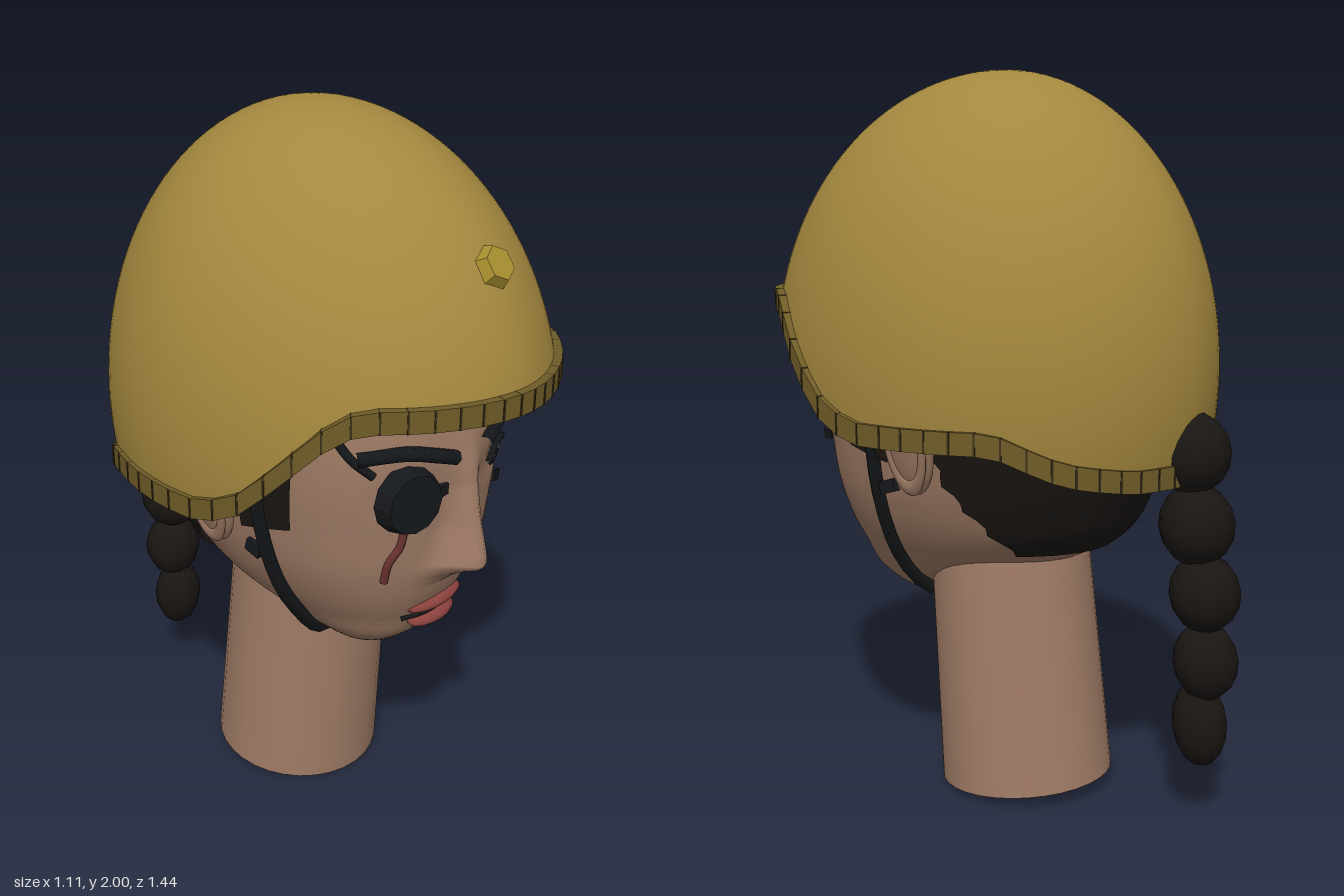
import * as THREE from 'three';
import { ParametricGeometry } from 'three/addons/geometries/ParametricGeometry.js';

const mat = (color, extra = {}) => new THREE.MeshStandardMaterial({ color, ...extra });
const DOUBLE = { side: THREE.DoubleSide };
const FLAT = { flatShading: true };
const V = (x, y, z) => new THREE.Vector3(x, y, z);

// Rows of [key, ...values] turned into a smooth or linear lookup
function table(rows, Type = THREE.CubicInterpolant) {
  const n = rows[0].length - 1;
  const it = new Type(rows.map(r => r[0]), rows.flatMap(r => r.slice(1)), n);
  const lo = rows[0][0], hi = rows[rows.length - 1][0];
  return k => Array.from(it.evaluate(Math.min(hi, Math.max(lo, k))));
}

// Head sections by height: front z, back z, half width
const section = table([
  [0.50, 0.22, 0.16, 0.02], [0.53, 0.29, 0.11, 0.09], [0.60, 0.385, 0.0, 0.18],
  [0.68, 0.43, -0.24, 0.25], [0.76, 0.465, -0.36, 0.305], [0.86, 0.49, -0.42, 0.35],
  [1.00, 0.505, -0.48, 0.385], [1.15, 0.52, -0.53, 0.41], [1.30, 0.51, -0.55, 0.42],
  [1.50, 0.46, -0.48, 0.39], [1.70, 0.32, -0.36, 0.28], [1.80, 0.05, -0.05, 0.04],
]);
// Nose by height: projection, half width
const nose = table([
  [0.79, 0, 0.07], [0.83, 0.035, 0.075], [0.865, 0.105, 0.07], [0.90, 0.1, 0.06],
  [0.98, 0.075, 0.045], [1.10, 0.035, 0.04], [1.20, 0.015, 0.06], [1.30, 0, 0.08],
], THREE.LinearInterpolant);
const E = 2.4;
const round = (r, e) => Math.pow(Math.max(0, 1 - Math.pow(Math.min(1, Math.abs(r)), e)), 1 / e);

function faceZ(x, y) {
  const [zf, zb, w] = section(y), zc = (zf + zb) / 2;
  const [p, nw] = nose(y);
  const socket = 0.018 * Math.exp(-(((Math.abs(x) - 0.17) / 0.07) ** 2) - ((y - 1.11) / 0.05) ** 2);
  return zc + (zf - zc) * round(x / w, E) + p * Math.exp(-((x / nw) ** 2)) - socket;
}
function sideX(y, z) {
  const [zf, zb, w] = section(y), zc = (zf + zb) / 2;
  return w * round((z - zc) / (zf - zc), z > zc ? E : 2);
}
function headPoint(t, y, off, target) {
  const [zf, zb, w] = section(y), zc = (zf + zb) / 2;
  const x = w * Math.sin(t), c = Math.cos(t);
  const z = c > 0 ? faceZ(x, y) : zc + (zc - zb) * c;
  target.set(x + off * Math.sin(t), y, z + off * c);
}

// Helmet: outline seen from above, and rim height by z
const outline = t => {
  const s = Math.sin(t), c = Math.cos(t);
  return [0.545 * s * Math.pow(Math.abs(s), 0.08), c * (c > 0 ? 0.71 : 0.62)];
};
const rimHeight = table([
  [-0.62, 0.96], [-0.56, 0.96], [-0.44, 0.99], [-0.29, 1.07], [0.11, 1.07],
  [0.23, 1.13], [0.44, 1.35], [0.50, 1.38], [0.72, 1.38],
], THREE.LinearInterpolant);
function helmetPoint(t, v, target) {
  const [px, pz] = outline(t);
  const phi = Math.acos((rimHeight(pz)[0] - 1.2) / 0.8) * v;
  const k = Math.sin(phi);
  return target.set(px * k, 1.2 + 0.8 * Math.cos(phi), pz * k);
}

export function createModel() {
  const model = new THREE.Group();
  const skin = mat(0xa07c66), hair = mat(0x1a1613, DOUBLE), black = mat(0x15181b);
  const lip = mat(0x8c423e), shell = mat(0xa4883e, DOUBLE), trim = mat(0x6f5c28, { ...FLAT, ...DOUBLE });

  function add(name, geometry, material, pos = [0, 0, 0], rot = [0, 0, 0], scale = [1, 1, 1]) {
    const m = new THREE.Mesh(geometry, material);
    m.name = name;
    m.position.set(...pos);
    m.rotation.set(...rot);
    m.scale.set(...scale);
    model.add(m);
    return m;
  }
  const ball = (a = 20, b = 14) => new THREE.SphereGeometry(1, a, b);
  // Thin cord through a list of points
  const cord = (name, pts, r, material, sides = 6) => add(name,
    new THREE.TubeGeometry(new THREE.CatmullRomCurve3(pts), 14, r, sides, false), material);
  // Cord lying on the face, given as [x, y] pairs
  const faceCord = (name, pts, r, material, lift = 0) =>
    cord(name, pts.map(([x, y]) => V(x, y, faceZ(x, y) + lift)), r, material);

  // Head and neck
  add('head', new ParametricGeometry((u, v, p) =>
    headPoint((u * 2 - 1) * Math.PI, 0.5 + 1.299 * v, 0, p), 128, 90), skin);
  add('neck', new THREE.CylinderGeometry(0.225, 0.245, 0.72, 32), skin, [0, 0.38, -0.05], [0.09, 0, 0]);

  // Hair at the back, with a stepped front edge
  const hairEdge = table([[0.72, -0.19], [0.80, -0.15], [0.86, -0.11], [0.94, -0.06], [1.35, -0.04]],
    THREE.LinearInterpolant);
  add('backHair', new ParametricGeometry((u, v, p) => {
    const y = 0.72 + 0.63 * v, [zf, zb] = section(y), zc = (zf + zb) / 2;
    const z = hairEdge(y)[0] + 0.01 * Math.sin(y * 90);
    const a = Math.acos(Math.max(-1, Math.min(0, (z - zc) / (zc - zb))));
    headPoint(a + u * 2 * (Math.PI - a), y, 0.02, p);
  }, 40, 28), hair);

  // Braid
  [[1.01, -0.59, 0.105, 0.11], [0.82, -0.61, 0.102, 0.11], [0.64, -0.638, 0.096, 0.105],
    [0.455, -0.645, 0.088, 0.105], [0.28, -0.632, 0.074, 0.118]].forEach(([y, z, r, h], i) =>
    add('braidBead' + (i + 1), ball(10, 8), hair, [0, y, z], [0.1, 0, 0], [r, h, r]));

  // Parts on both sides
  for (const s of [1, -1]) {
    const side = s > 0 ? 'left' : 'right';
    add(side + 'Sideburn', new ParametricGeometry((u, v, p) => {
      const y = 1.0 + 0.42 * v, f = s > 0 ? u : 1 - u;
      const z = 0.25 + 0.05 * v - f * (0.15 + 0.05 * v);
      p.set(s * (sideX(y, z) + 0.015), y - 0.03 * f * (1 - v), z);
    }, 8, 10), hair);
    add(side + 'Ear', ball(), skin, [s * 0.42, 1.04, 0.01], [0, 0, -s * 0.22], [0.035, 0.15, 0.072]);
    add(side + 'EarFold', new THREE.TorusGeometry(1, 0.2, 8, 24), skin,
      [s * 0.442, 1.04, 0.01], [0, Math.PI / 2, -s * 0.22, 'ZYX'], [0.055, 0.125, 0.05]);
    // Chin strap with its buckle
    cord(side + 'ChinStrap', [[1.36, 0.26], [1.2, 0.18], [1.05, 0.16], [0.9, 0.165], [0.78, 0.17], [0.68, 0.175],
      [0.6, 0.165], [0.56, 0.15]].map(([y, z]) => V(s * (sideX(y, z) + 0.012), y, z)), 0.024, black, 4);
    add(side + 'Buckle', new THREE.BoxGeometry(0.025, 0.035, 0.05), black,
      [s * (sideX(0.9, 0.12) + 0.008), 0.9, 0.12], [0.3, 0, 0]);
    faceCord(side + 'Eyebrow', [[s * 0.06, 1.19], [s * 0.13, 1.215], [s * 0.2, 1.235], [s * 0.3, 1.228]],
      0.02, black, 0.008);
  }

  // Open eye
  const ez = faceZ(0.17, 1.11);
  add('eyeWhite', ball(), mat(0xb8b4b0), [0.17, 1.11, ez - 0.008], [0, 0.2, 0], [0.058, 0.026, 0.022]);
  add('iris', ball(), mat(0x5c6b7c), [0.17, 1.112, ez + 0.006], [0, 0.2, 0], [0.025, 0.025, 0.012]);
  add('pupil', ball(12, 8), black, [0.17, 1.112, ez + 0.014], [0, 0.2, 0], [0.011, 0.011, 0.007]);
  faceCord('upperLashes', [[0.1, 1.11], [0.14, 1.137], [0.19, 1.142], [0.24, 1.125]], 0.009, black, 0.012);
  faceCord('lowerLashes', [[0.12, 1.092], [0.17, 1.08], [0.23, 1.092]], 0.004, black, 0.008);
  add('cheekMark', new THREE.BoxGeometry(0.065, 0.03, 0.02), black,
    [0.228, 1.005, faceZ(0.228, 1.005) + 0.004], [0, 0.4, -0.35]);

  // Eye patch with its string, and the scar below it
  add('eyePatch', new THREE.CylinderGeometry(0.08, 0.095, 0.05, 12), mat(0x15181b, FLAT),
    [-0.195, 1.105, faceZ(-0.195, 1.105) + 0.035], [Math.PI / 2, 0, 0.25]);
  faceCord('patchString', [[-0.27, 1.18], [-0.31, 1.23], [-0.345, 1.33]], 0.012, black, 0.008);
  add('patchTab', new THREE.BoxGeometry(0.03, 0.03, 0.02), black, [-0.09, 1.105, faceZ(-0.09, 1.105) + 0.006]);
  faceCord('scar', [[-0.185, 1.01], [-0.19, 0.96], [-0.21, 0.91], [-0.21, 0.85]], 0.011, mat(0x6e3430), 0.003);

  // Mouth
  add('upperLip', ball(16, 8), lip, [0, 0.715, 0.43], [0, 0, 0], [0.108, 0.022, 0.044]);
  add('lowerLip', ball(16, 8), lip, [0, 0.662, 0.422], [0, 0, 0], [0.09, 0.024, 0.044]);
  faceCord('mouthLine', [[-0.12, 0.687], [-0.05, 0.685], [0.05, 0.685], [0.12, 0.687]], 0.007, black, 0.006);

  // Helmet shell
  add('helmetShell', new ParametricGeometry((u, v, p) =>
    helmetPoint((u * 2 - 1) * Math.PI, 1 - 0.999 * v, p), 96, 36), shell);

  // Helmet rim: a square band split into short blocks
  const corners = [[0.016, -0.028], [0.016, 0.03], [-0.014, 0.03], [-0.014, -0.028], [0.016, -0.028]];
  add('helmetRim', new ParametricGeometry((u, v, p) => {
    const t = (u * 2 - 1) * Math.PI;
    helmetPoint(t, 1, p);
    const [o, h] = corners[Math.round(v * 4)];
    p.x += o * Math.sin(t);
    p.z += o * Math.cos(t);
    p.y += h;
  }, 60, 4), trim);
  for (let i = 0; i < 60; i++) {
    const t = (i / 60) * Math.PI * 2, p = helmetPoint(t, 1, V());
    add('rimSeam', new THREE.BoxGeometry(0.005, 0.058, 0.034), mat(0x3a3016),
      [p.x + 0.001 * Math.sin(t), p.y + 0.001, p.z + 0.001 * Math.cos(t)], [0, t, 0]);
  }

  // Hexagonal badge on the brow of the helmet
  const badge = add('badge', new THREE.CylinderGeometry(0.045, 0.06, 0.035, 6), mat(0xa8902f, FLAT),
    [0, 1.685, 0.572]);
  badge.rotation.x = 0.95;
  return model;
}
